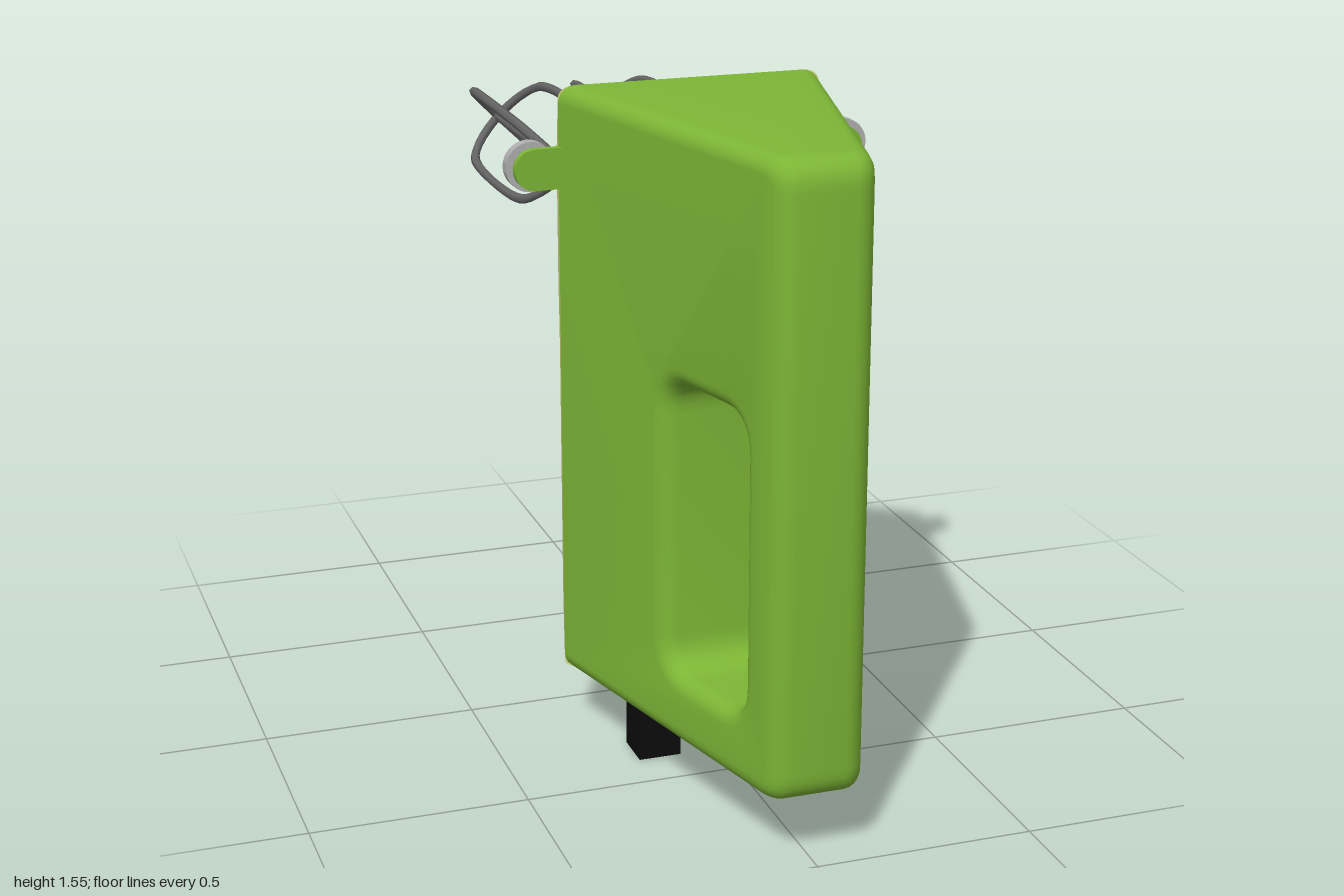
import * as THREE from 'three';
import { toCreasedNormals } from 'three/addons/utils/BufferGeometryUtils.js';

const mat = (color) => new THREE.MeshStandardMaterial({ color });
const green = mat(0x7cb535), cream = mat(0xd6dc82), steel = mat(0x666666);
const silver = mat(0xb0b0b0), black = mat(0x0c0c0c);

const SEAM = 0.16, TOP = 1.55, BOTTOM = 0.15, BEVEL = 0.04;

function add(parent, name, geometry, material, x = 0, y = 0, z = 0) {
  const mesh = new THREE.Mesh(geometry, material);
  mesh.name = name;
  mesh.position.set(x, y, z);
  parent.add(mesh);
  return mesh;
}

// Closed outline from [z, y, corner cut] points
function roundedOutline(points, path) {
  const v = points.map(([z, y]) => new THREE.Vector2(z, y));
  const n = v.length;
  points.forEach(([, , r], i) => {
    const p = v[i];
    const toward = (q) => p.clone().add(q.clone().sub(p).setLength(r));
    const a = r ? toward(v[(i + n - 1) % n]) : p;
    if (i === 0) path.moveTo(a.x, a.y);
    else path.lineTo(a.x, a.y);
    if (r) {
      const b = toward(v[(i + 1) % n]);
      path.quadraticCurveTo(p.x, p.y, b.x, b.y);
    }
  });
  path.closePath();
  return path;
}

// Side profile extruded across x, with the half width varying along z.
// The bevel is flattened at the seam so the two shells meet cleanly.
function taperedShell(shape, halfWidth) {
  const half = 0.3;
  const geo = new THREE.ExtrudeGeometry(shape, {
    depth: 2 * (half - BEVEL), bevelThickness: BEVEL, bevelSize: BEVEL,
    bevelOffset: -BEVEL, bevelSegments: 5, curveSegments: 7,
  });
  geo.translate(0, 0, -(half - BEVEL));
  geo.rotateY(-Math.PI / 2);
  const p = geo.attributes.position;
  for (let i = 0; i < p.count; i++) {
    let x = p.getX(i), y = p.getY(i), z = p.getZ(i);
    const inset = Math.abs(z - SEAM);
    if (inset < BEVEL + 0.001) {
      z = SEAM;
      y = y > 0.8 ? TOP - inset : BOTTOM + inset;
    }
    x = Math.sign(x) * (Math.abs(x) - half + halfWidth(z));
    p.setXYZ(i, x, y, z);
  }
  return toCreasedNormals(geo, 0.7);
}

// Capsule shaped wire loop in the x-z plane
function wireLoop(z0, z1, r) {
  const pts = [];
  for (const [c, start] of [[z0 - r, 0], [z1 + r, Math.PI]]) {
    for (let i = 0; i <= 6; i++) {
      const a = start + (i / 6) * Math.PI;
      pts.push(new THREE.Vector3(Math.cos(a) * r, 0, c + Math.sin(a) * r));
    }
  }
  const curve = new THREE.CatmullRomCurve3(pts, true, 'centripetal');
  return new THREE.TubeGeometry(curve, 56, 0.012, 6, true);
}

export function createModel() {
  const model = new THREE.Group();
  model.name = 'handMixer';

  // Wedge shaped body with the grip opening
  const bodyShape = roundedOutline([
    [SEAM, BOTTOM, 0], [1, BOTTOM, 0.07], [1, TOP, 0.07], [SEAM, TOP, 0],
  ], new THREE.Shape());
  bodyShape.holes.push(roundedOutline([
    [0.575, 0.31, 0.08], [0.575, 0.985, 0.08], [0.87, 0.985, 0.08], [0.87, 0.31, 0.08],
  ], new THREE.Path()));
  add(model, 'body', taperedShell(bodyShape, (z) => 0.31 - (z - SEAM) * 0.25), green);

  // Pale motor cover
  const coverShape = roundedOutline([
    [SEAM, TOP, 0], [-0.06, 1.395, 0.09], [-0.06, 1.04, 0.07],
    [0.02, 0.93, 0.06], [0.02, 0.275, 0.07], [SEAM, BOTTOM, 0],
  ], new THREE.Shape());
  add(model, 'motorCover', taperedShell(coverShape, (z) => 0.31 - (SEAM - z) * 0.27), cream);

  // Tab outline, rounded at the outer end
  const tabShape = new THREE.Shape();
  tabShape.moveTo(-0.09, -0.047);
  tabShape.lineTo(0, -0.047);
  tabShape.absarc(0, 0, 0.047, -Math.PI / 2, Math.PI / 2, false);
  tabShape.lineTo(-0.09, 0.047);
  tabShape.closePath();
  const tabGeo = new THREE.ExtrudeGeometry(tabShape, { depth: 0.02, bevelEnabled: false, curveSegments: 16 });

  const ringShape = new THREE.Shape().absarc(0, 0, 0.057, 0, Math.PI * 2, false);
  ringShape.holes.push(new THREE.Path().absarc(0, 0, 0.031, 0, Math.PI * 2, true));
  const ringGeo = toCreasedNormals(new THREE.ExtrudeGeometry(ringShape, {
    depth: 0.027, bevelEnabled: false, curveSegments: 24,
  }), 0.6);
  const discGeo = new THREE.CylinderGeometry(0.032, 0.032, 0.02, 24).rotateX(Math.PI / 2);

  const collarGeo = new THREE.CylinderGeometry(0.055, 0.055, 0.03, 24).rotateX(Math.PI / 2);
  const shaftGeo = new THREE.CylinderGeometry(0.014, 0.014, 0.94, 10).rotateX(Math.PI / 2);
  const loopGeo = wireLoop(-0.347, -0.988, 0.135);

  for (const s of [1, -1]) {
    const side = s > 0 ? 'left' : 'right';

    // Side tab with its ring
    const lug = new THREE.Group();
    lug.name = side + 'Lug';
    lug.position.set(s * 0.368, 1.367, 0);
    const tab = add(lug, 'tab', tabGeo, green, 0, 0, 0.155);
    if (s < 0) {
      tab.rotation.z = Math.PI;
    }
    add(lug, 'ring', ringGeo, silver, s * 0.006, 0.004, 0.13);
    add(lug, 'ringCentre', discGeo, black, s * 0.006, 0.004, 0.147);
    model.add(lug);

    // Beater: collar, shaft and two crossed wire loops
    const beater = new THREE.Group();
    beater.name = side + 'Beater';
    beater.position.set(s * 0.137, 1.235, 0);
    add(beater, 'collar', collarGeo, steel, 0, 0, -0.053);
    add(beater, 'shaft', shaftGeo, steel, 0, 0, -0.525);
    for (const t of [1, -1]) add(beater, 'wireLoop', loopGeo, steel).rotation.z = t * Math.PI / 4;
    model.add(beater);

    // Foot
    add(model, side + 'Foot', new THREE.BoxGeometry(0.1, 0.17, 0.1), black, s * 0.15, 0.085, 0.34);
  }
  return model;
}
